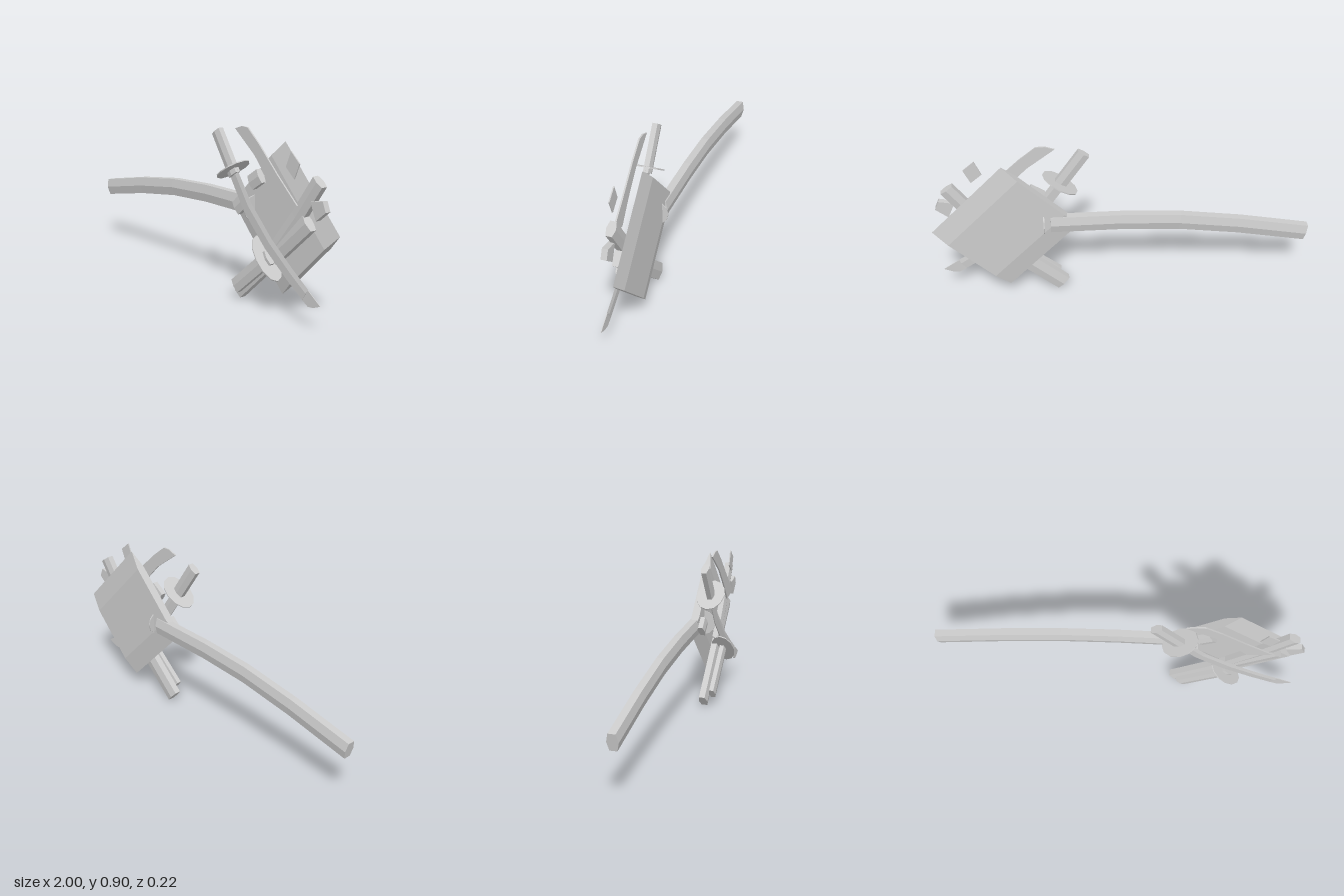
import * as THREE from 'three';

const mat = new THREE.MeshStandardMaterial({ color: 0xcccccc, flatShading: true, side: THREE.DoubleSide });
const V = (x, y) => new THREE.Vector2(x, y);

// Cross-sections as [across, z] fractions
const BAR = [[1, -0.65], [1, 0.65], [0, 1], [-1, 0.65], [-1, -0.65], [0, -1]];
const BEVEL = [[1, 0], [0.6, 1], [-0.6, 1], [-1, 0], [-0.6, -1], [0.6, -1]];
const BLADE = [[1, 0], [0.3, 1], [-1, 0.5], [-1, -0.5], [0.3, -1]];

// Sweeps a cross-section along a path in the xy plane, with closed ends
function sweep(path, halfWidths, halfZ, z, section = BAR) {
  const pos = [], idx = [], n = section.length, last = path.length - 1;
  path.forEach((p, i) => {
    const a = path[Math.max(i - 1, 0)], b = path[Math.min(i + 1, last)];
    const d = V(b[0] - a[0], b[1] - a[1]).normalize();
    const w = Array.isArray(halfWidths) ? halfWidths[i] : halfWidths;
    for (const [s, t] of section) pos.push(p[0] - d.y * s * w, p[1] + d.x * s * w, z + t * halfZ);
  });
  for (let i = 0; i < last; i++) {
    for (let j = 0; j < n; j++) {
      const a = i * n + j, b = i * n + (j + 1) % n;
      idx.push(a, a + n, b, b, a + n, b + n);
    }
  }
  for (let j = 1; j < n - 1; j++) {
    idx.push(0, j, j + 1);
    idx.push(last * n, last * n + j + 1, last * n + j);
  }
  // keep the faces pointing outwards
  for (let k = 0; k < idx.length; k += 3) [idx[k + 1], idx[k + 2]] = [idx[k + 2], idx[k + 1]];
  const g = new THREE.BufferGeometry();
  g.setAttribute('position', new THREE.Float32BufferAttribute(pos, 3));
  g.setIndex(idx);
  const flat = g.toNonIndexed();
  flat.computeVertexNormals();
  return flat;
}

// Thin elliptical disc whose axis lies in the xy plane at the given angle
function disc(x, y, z, angle, radius, radiusZ) {
  const g = new THREE.CylinderGeometry(1, 1, 0.006, 12);
  g.scale(radius, 1, radiusZ);
  g.rotateZ(angle - Math.PI / 2);
  g.translate(x, y, z);
  return g;
}

// Thin flat piece from an outline
function slab(points, depth, z) {
  const g = new THREE.ExtrudeGeometry(new THREE.Shape(points.map(p => V(p[0], p[1]))),
    { depth, bevelEnabled: false });
  g.translate(0, 0, z - depth / 2);
  return g;
}

export function createModel() {
  const model = new THREE.Group();
  const add = (name, geometry) => {
    const m = new THREE.Mesh(geometry, mat);
    m.name = name;
    model.add(m);
  };

  // Long curved arm
  add('longArm', sweep([[-0.99, 0.325], [-0.62, 0.402], [-0.3, 0.452], [0, 0.474], [0.38, 0.482]],
    0.046, 0.03, -0.06));
  add('armCollar', disc(0.415, 0.48, -0.036, 0, 0.07, 0.07));

  // Square plate standing on a corner, bevelled along two sides
  const h = 0.192;
  add('plate', sweep([[0.613 - h, 0.462 + h], [0.613 + h, 0.462 - h]], 0.271, 0.022, -0.053, BEVEL));

  // Bars in front of the plate
  add('lowerBar', sweep([[0.325, 0.032], [0.835, 0.5]], 0.045, 0.026, -0.011));
  add('upperBar', sweep([[0.61, 0.32], [0.76, 0.51], [0.898, 0.706]], 0.037, 0.024, -0.012));

  // Two handles with their guards
  add('upperHandle', sweep([[0.193, 0.848], [0.335, 0.645]], 0.033, 0.021, 0.033));
  add('lowerHandle', sweep([[0.357, 0.07], [0.61, 0.285]], 0.037, 0.019, 0.034));
  add('upperGuard', disc(0.32, 0.67, 0.032, -0.98, 0.107, 0.077));
  add('lowerGuard', disc(0.593, 0.275, 0.036, 0.71, 0.127, 0.066));

  // Curved blades
  add('lowerBlade', sweep([[0.325, 0.66], [0.44, 0.5], [0.6, 0.35], [0.76, 0.235], [0.87, 0.165]],
    [0.034, 0.037, 0.037, 0.036, 0.034], 0.005, 0.033, BLADE));
  add('lowerBladeTip', slab([[0.85, 0.135], [0.89, 0.113], [0.925, 0.117], [0.972, 0.137], [0.888, 0.192]],
    0.004, 0.033));
  add('upperBlade', slab([[0.34, 0.88], [0.39, 0.898], [0.435, 0.897], [0.52, 0.83], [0.66, 0.7],
    [0.8, 0.58], [0.675, 0.557], [0.59, 0.665], [0.49, 0.77]], 0.008, 0.033));

  // Small loose pieces around the plate
  add('upperChip', slab([[0.717, 0.75], [0.75, 0.83], [0.81, 0.78], [0.776, 0.702]], 0.006, 0.033));
  add('sideChip', slab([[0.867, 0.61], [0.947, 0.627], [0.968, 0.578], [0.905, 0.525]], 0.03, 0));
  add('innerChip', sweep([[0.42, 0.615], [0.49, 0.662]], 0.037, 0.02, -0.008));
  add('armChip', sweep([[0.298, 0.46], [0.353, 0.508]], 0.037, 0.02, -0.015));
  return model;
}
